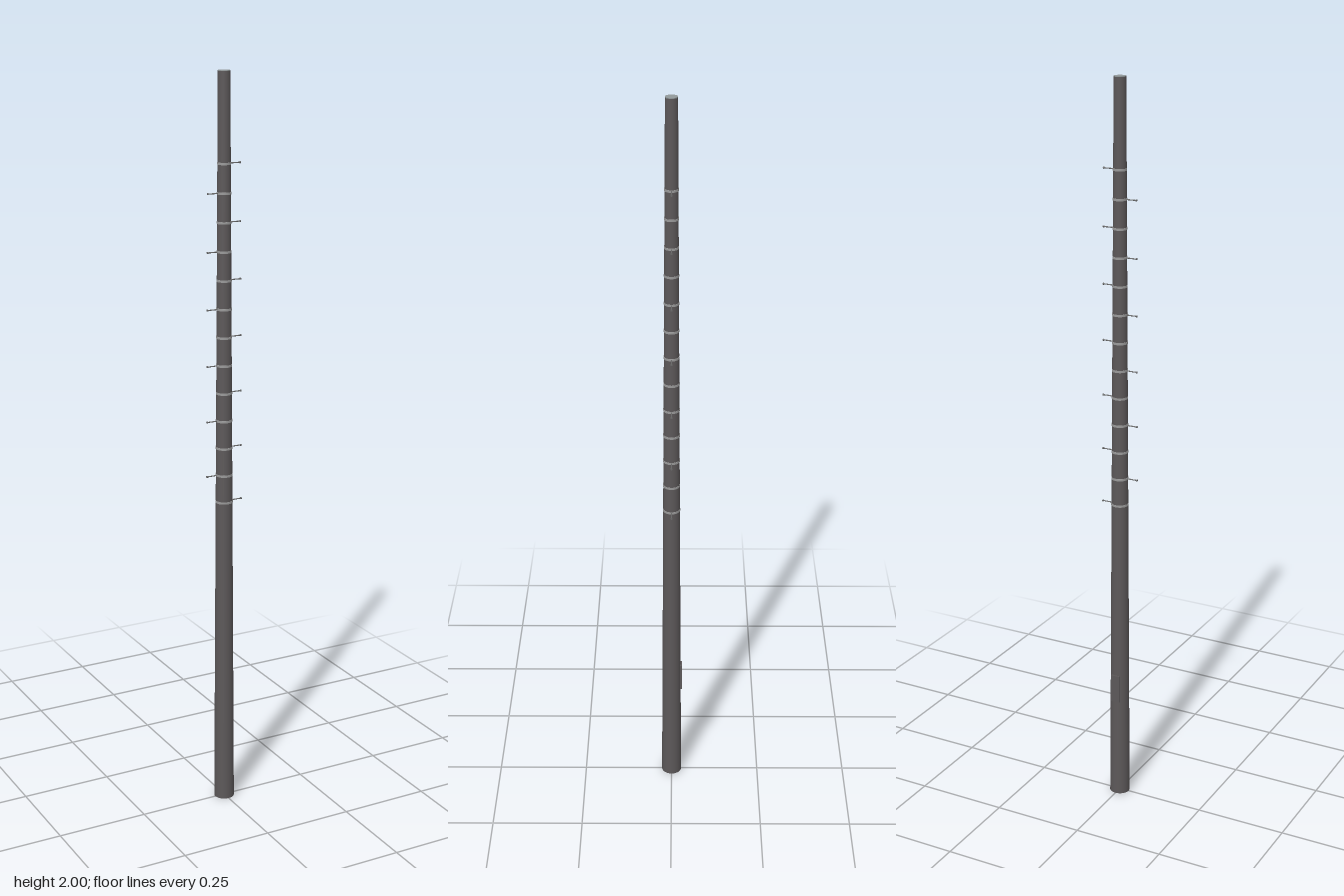
import * as THREE from 'three';

const HEIGHT = 2, BASE_R = 0.0278, TOP_R = 0.0158;
const radiusAt = (y) => BASE_R + (TOP_R - BASE_R) * (y / HEIGHT);

export function createModel() {
  const group = new THREE.Group();
  const mat = (name, color) => {
    const m = new THREE.MeshStandardMaterial({ color });
    m.name = name;
    return m;
  };
  const concrete = mat('dark concrete', 0x5c5859);
  const capGrey = mat('pale cap', 0x92999a);
  const steel = mat('band steel', 0x9a9a9a);
  const rodGrey = mat('rod grey', 0x6a6a6a);

  const add = (name, geometry, material, parent = group) => {
    const mesh = new THREE.Mesh(geometry, material);
    mesh.name = name;
    parent.add(mesh);
    return mesh;
  };

  // Tapered pole with a pale disc on top
  add('pole', new THREE.CylinderGeometry(TOP_R, BASE_R, HEIGHT - 0.002, 32), concrete).position.y = HEIGHT / 2 - 0.001;
  add('topCap', new THREE.CylinderGeometry(TOP_R, TOP_R, 0.002, 32), capGrey).position.y = HEIGHT - 0.001;

  // Small plate on the back
  add('backPlate', new THREE.BoxGeometry(0.024, 0.08, 0.005), concrete).position.set(0, 0.33, -0.0268);

  // Climbing steps on alternating sides, each held by a thin band
  for (let i = 0; i < 13; i++) {
    const y = 0.872 + i * 0.0748;
    const r = radiusAt(y);
    const side = i % 2 === 0 ? 1 : -1;
    const step = new THREE.Group();
    step.name = 'climbingStep';
    step.position.y = y;
    group.add(step);

    add('band', new THREE.CylinderGeometry(r + 0.001, r + 0.001, 0.006, 32), steel, step);

    const rod = add('rod', new THREE.CylinderGeometry(0.0015, 0.0015, 0.03, 10), rodGrey, step);
    rod.rotation.z = Math.PI / 2;
    rod.position.x = side * (r + 0.015);

    const tip = add('rodTip', new THREE.CylinderGeometry(0.0027, 0.0027, 0.003, 10), rodGrey, step);
    tip.rotation.z = Math.PI / 2;
    tip.position.x = side * (r + 0.029);
  }
  return group;
}
